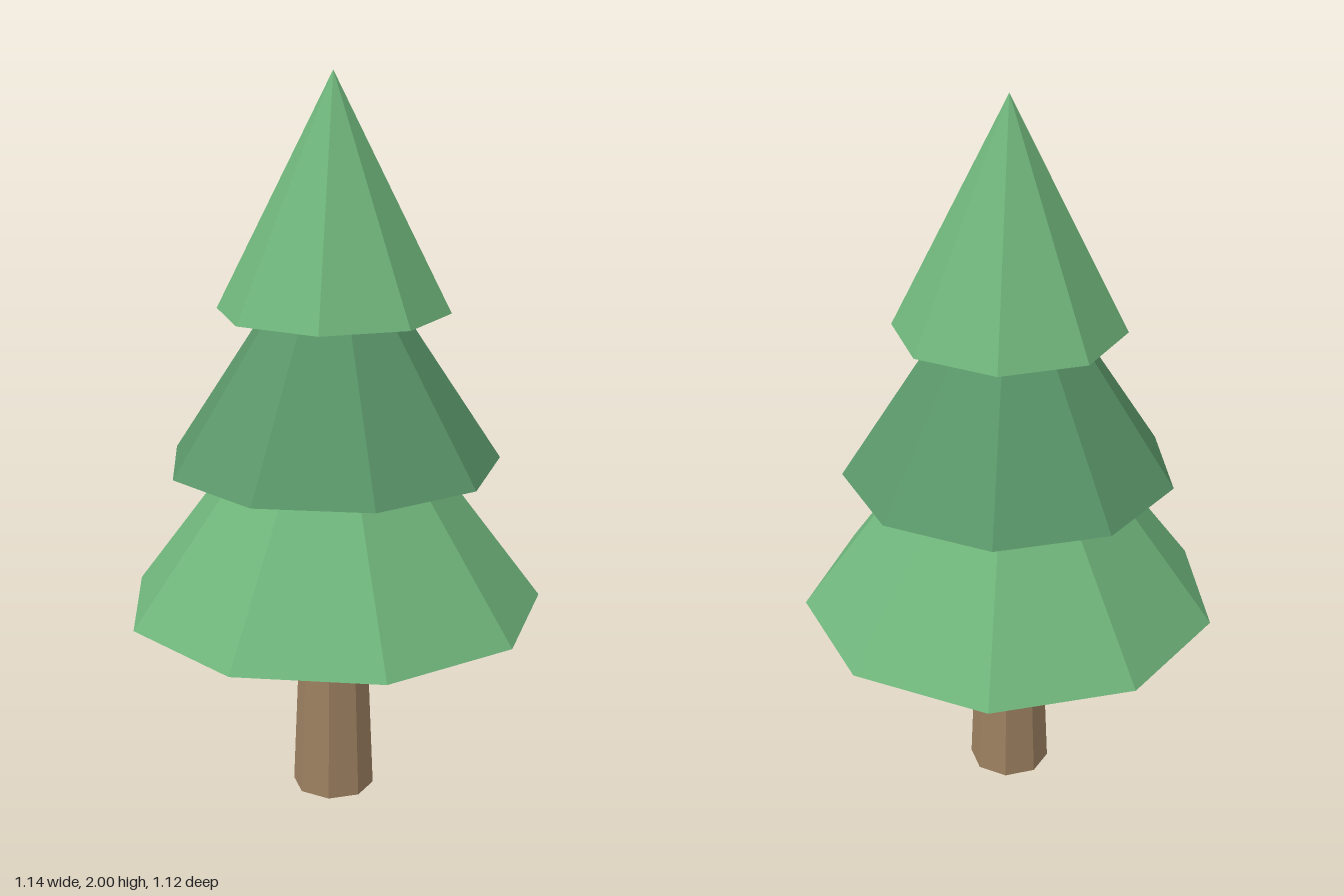
import * as THREE from 'three';

export function createModel() {
  const tree = new THREE.Group();
  tree.name = 'pineTree';
  const axisZ = 0.016; // odd-sided tiers sit slightly off centre

  const material = (color) => new THREE.MeshStandardMaterial({ color, flatShading: true });
  const lightGreen = material(0x6fb57b);
  const darkGreen = material(0x5a9669);
  const bark = material(0x9c8060);

  // Low-poly cone or frustum standing on a given height, one corner facing -z
  function addPart(name, topRadius, bottomRadius, bottom, top, sides, mat) {
    const geometry = new THREE.CylinderGeometry(topRadius, bottomRadius, top - bottom, sides, 1);
    geometry.rotateY(Math.PI);
    const mesh = new THREE.Mesh(geometry, mat);
    mesh.name = name;
    mesh.position.set(0, (bottom + top) / 2, axisZ);
    tree.add(mesh);
  }

  // Tapered trunk, running a little into the foliage
  addPart('trunk', 0.089, 0.114, 0, 0.6, 8, bark);

  // Three overlapping foliage tiers
  addPart('lowerFoliage', 0, 0.577, 0.56, 1.335, 9, lightGreen);
  addPart('middleFoliage', 0, 0.456, 0.965, 1.66, 9, darkGreen);
  addPart('upperFoliage', 0, 0.313, 1.378, 2, 8, lightGreen);

  return tree;
}
